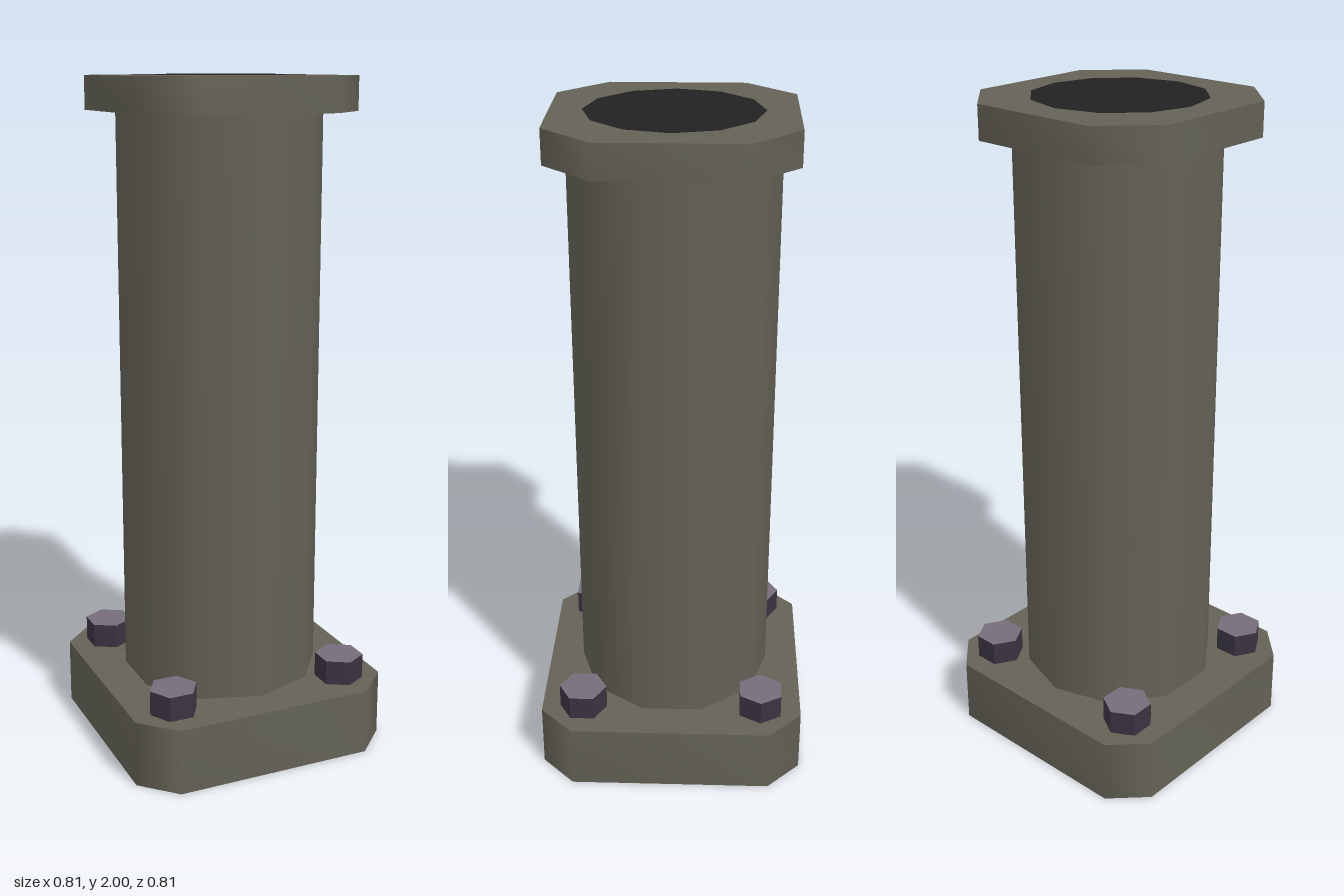
import * as THREE from 'three';

const stone = new THREE.MeshStandardMaterial({ name: 'oliveGrey', color: 0x646256, side: THREE.DoubleSide });
const black = new THREE.MeshStandardMaterial({ name: 'openingBlack', color: 0x222222 });
const boltSide = new THREE.MeshStandardMaterial({ name: 'boltDark', color: 0x3a3342, flatShading: true });
const boltTop = new THREE.MeshStandardMaterial({ name: 'boltLight', color: 0x756d7a });

function add(parent, name, geometry, material, x = 0, y = 0, z = 0) {
  const mesh = new THREE.Mesh(geometry, material);
  mesh.name = name;
  mesh.position.set(x, y, z);
  parent.add(mesh);
  return mesh;
}

// Square with cut corners: h is the half width, c the half length of a straight side
function octagon(h, c) {
  return [[h, -c], [h, c], [c, h], [-c, h], [-h, c], [-h, -c], [-c, -h], [c, -h]];
}

// Smooth wall around an outline, without caps
function wall(points, height) {
  const positions = [], index = [], n = points.length;
  points.forEach(([x, z], i) => {
    positions.push(x, 0, z, x, height, z);
    const a = 2 * i, b = 2 * ((i + 1) % n);
    index.push(a, a + 1, b + 1, a, b + 1, b);
  });
  const g = new THREE.BufferGeometry();
  g.setAttribute('position', new THREE.Float32BufferAttribute(positions, 3));
  g.setIndex(index);
  g.computeVertexNormals();
  return g;
}

// Flat face facing up (1) or down (-1)
function cap(points, direction) {
  const shape = new THREE.Shape(points.map(([x, z]) => new THREE.Vector2(x, z)));
  return new THREE.ShapeGeometry(shape).rotateX(-direction * Math.PI / 2);
}

export function createModel() {
  const model = new THREE.Group();
  model.name = 'pipeColumn';

  // Base plate, hollow underneath
  const base = new THREE.Group();
  base.name = 'base';
  const baseOutline = octagon(0.403, 0.303);
  add(base, 'baseWall', wall(baseOutline, 0.2), stone);
  add(base, 'baseTop', cap(baseOutline, 1), stone, 0, 0.2);
  model.add(base);

  // Ten-sided column
  add(model, 'column', new THREE.CylinderGeometry(0.3, 0.3, 1.7, 10, 1, true), stone, 0, 1.05);

  // Top flange with the dark opening
  const flange = new THREE.Group();
  flange.name = 'flange';
  const flangeOutline = octagon(0.34, 0.2);
  add(flange, 'flangeWall', wall(flangeOutline, 0.098), stone, 0, 1.9);
  add(flange, 'flangeTop', cap(flangeOutline, 1), stone, 0, 1.998);
  add(flange, 'flangeUnderside', cap(flangeOutline, -1), stone, 0, 1.9);
  add(flange, 'opening', new THREE.CircleGeometry(0.25, 12).rotateX(-Math.PI / 2), black, 0, 2);
  model.add(flange);

  // Four hexagonal bolts, each a quarter turn on
  for (let i = 0; i < 4; i++) {
    const pivot = new THREE.Group();
    pivot.name = 'bolt' + (i + 1);
    pivot.rotation.y = i * Math.PI / 2;
    add(pivot, 'boltHead', new THREE.CylinderGeometry(0.073, 0.073, 0.075, 6),
      [boltSide, boltTop, boltSide], 0.277, 0.2375, 0.274);
    model.add(pivot);
  }
  return model;
}
